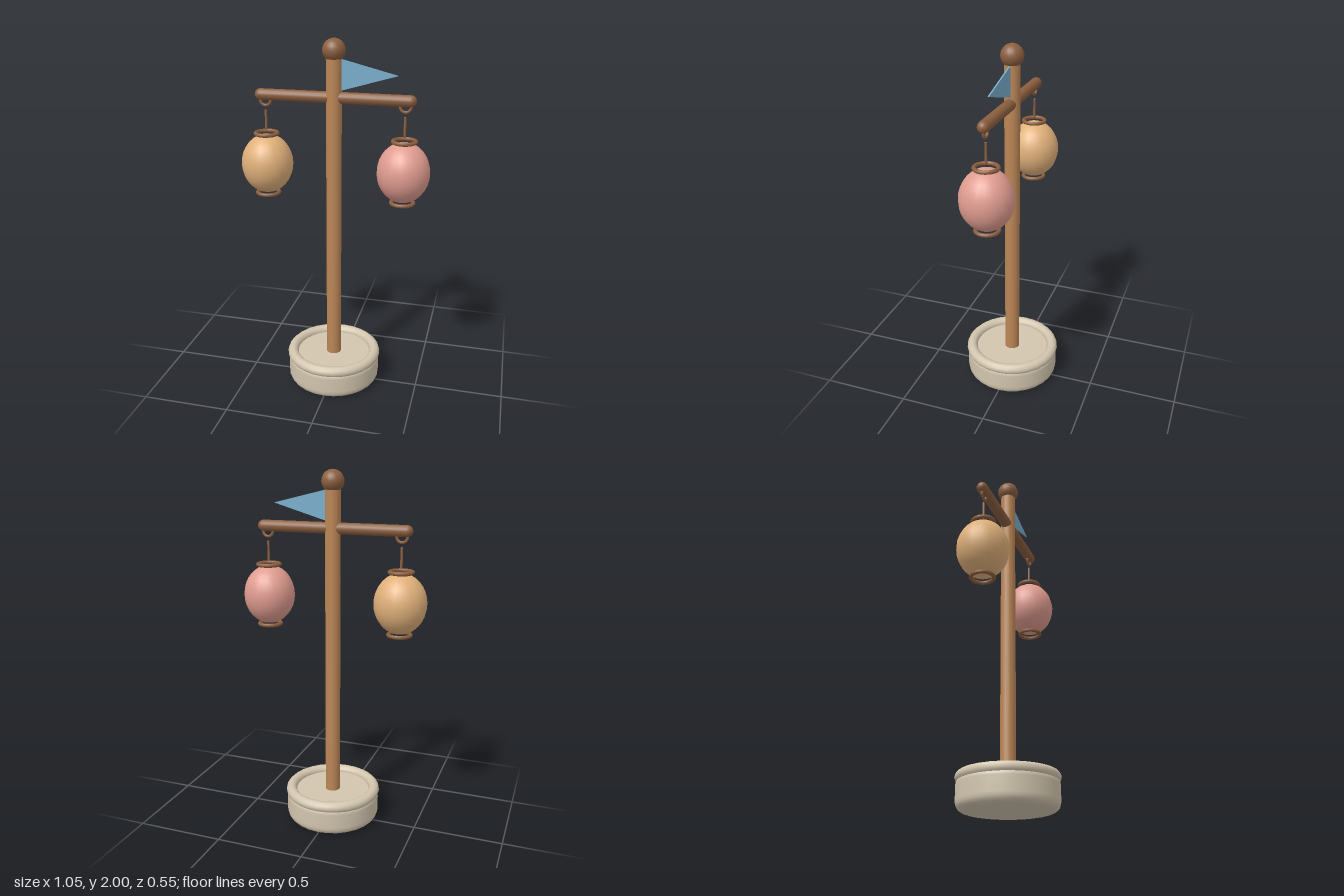
import * as THREE from 'three';

const paint = (name, color) => {
  const m = new THREE.MeshStandardMaterial({ color });
  m.name = name;
  return m;
};

export function createModel() {
  const stone = paint('stone', 0xd2c5ae);
  const wood = paint('light wood', 0xbb8656);
  const darkWood = paint('dark wood', 0x8c5f3f);
  const amber = paint('amber paper', 0xe0b07a);
  const pink = paint('pink paper', 0xe09c90);
  const blue = paint('blue cloth', 0x78acca);

  const model = new THREE.Group();
  model.name = 'lanternPost';
  const add = (name, geometry, material, x = 0, y = 0, parent = model) => {
    const mesh = new THREE.Mesh(geometry, material);
    mesh.name = name;
    mesh.position.set(x, y, 0);
    parent.add(mesh);
    return mesh;
  };

  // Round stone foot with a soft lower edge and a raised rim
  const foot = new THREE.Path();
  foot.moveTo(0, 0);
  foot.lineTo(0.225, 0);
  foot.quadraticCurveTo(0.268, 0.004, 0.268, 0.05);
  foot.lineTo(0.268, 0.13);
  foot.quadraticCurveTo(0.268, 0.155, 0.243, 0.167);
  add('base', new THREE.LatheGeometry(foot.getPoints(5), 28), stone);
  add('baseTop', new THREE.CircleGeometry(0.243, 28).rotateX(-Math.PI / 2), stone, 0, 0.167);
  add('baseRim', new THREE.TorusGeometry(0.243, 0.031, 12, 28).rotateX(Math.PI / 2), stone, 0, 0.169);

  // Post, finial and crossbar
  add('post', new THREE.CylinderGeometry(0.042, 0.042, 1.76, 20), wood, 0, 1.03);
  add('finial', new THREE.SphereGeometry(0.061, 20, 14), darkWood, 0, 1.939);
  add('crossbar', new THREE.CapsuleGeometry(0.031, 0.812, 6, 16).rotateZ(Math.PI / 2), darkWood, 0, 1.695);

  // Pennant
  const pennant = new THREE.Shape([
    new THREE.Vector2(0.03, 1.897),
    new THREE.Vector2(0.03, 1.73),
    new THREE.Vector2(0.338, 1.82),
  ]);
  const cloth = new THREE.ExtrudeGeometry(pennant, { depth: 0.008, bevelEnabled: false });
  add('pennant', cloth.translate(0, 0, -0.004), blue);

  // Hanging lanterns, one at each end of the crossbar
  for (const [name, x, paper] of [['leftLantern', 0.38, pink], ['rightLantern', -0.38, amber]]) {
    const lantern = new THREE.Group();
    lantern.name = name;
    lantern.position.x = x;
    model.add(lantern);
    add('hook', new THREE.TorusGeometry(0.029, 0.008, 8, 18), darkWood, 0, 1.664, lantern);
    add('cord', new THREE.CylinderGeometry(0.007, 0.007, 0.11, 8), darkWood, 0, 1.556, lantern);
    add('shade', new THREE.SphereGeometry(0.143, 20, 16).scale(1, 1.15, 1), paper, 0, 1.312, lantern);
    for (const y of [1.481, 1.142]) {
      add('collar', new THREE.TorusGeometry(0.061, 0.011, 8, 20).rotateX(Math.PI / 2), darkWood, 0, y, lantern);
    }
  }
  return model;
}
